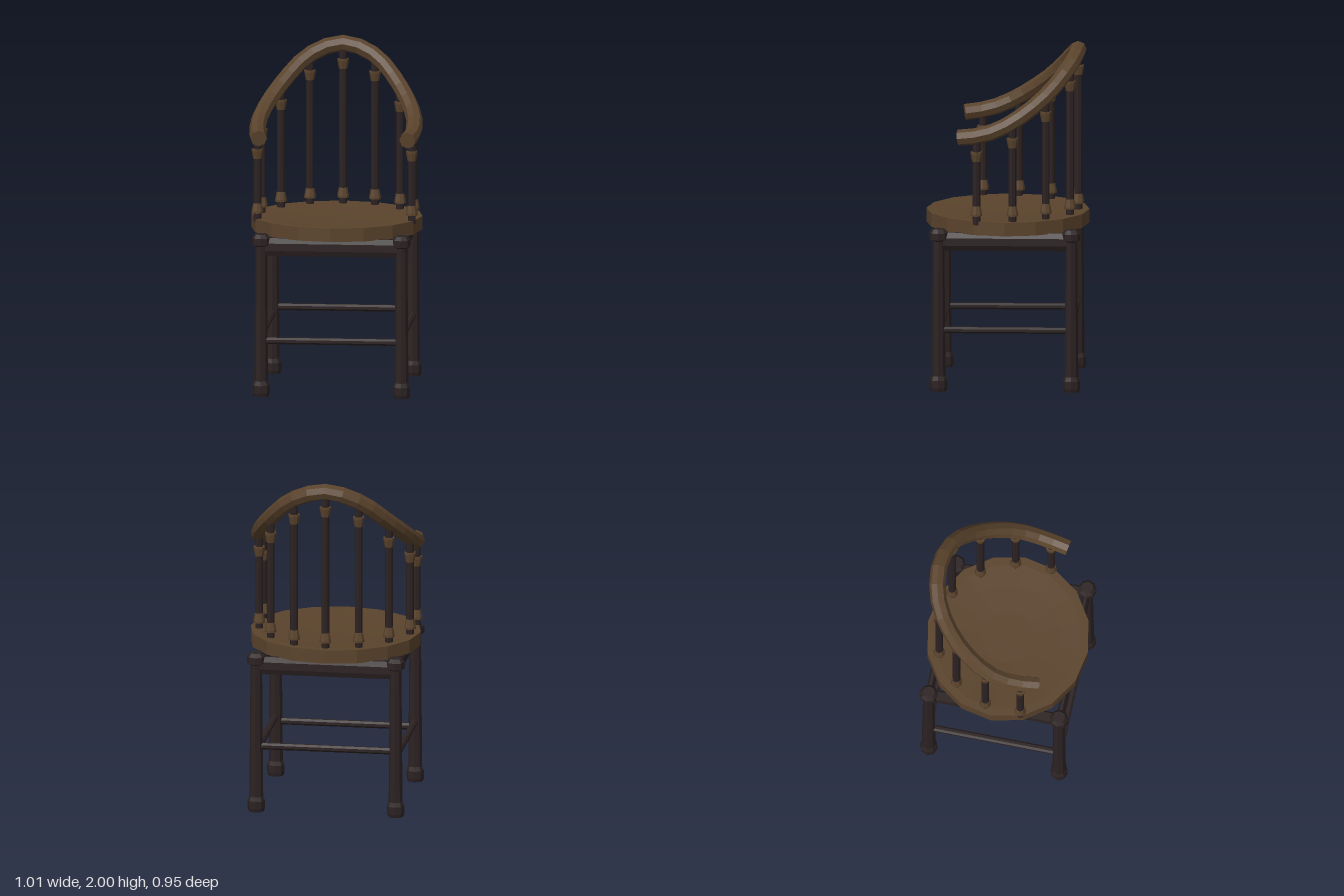
import * as THREE from 'three';

const brown = new THREE.MeshStandardMaterial({ color: 0x5a432c, flatShading: true });
brown.name = 'brown wood';
const dark = new THREE.MeshStandardMaterial({ color: 0x2c2222, flatShading: true });
dark.name = 'dark wood';

export function createModel() {
  const chair = new THREE.Group();
  chair.name = 'chair';

  const add = (name, geometry, material, x = 0, y = 0, z = 0) => {
    const mesh = new THREE.Mesh(geometry, material);
    mesh.name = name;
    mesh.position.set(x, y, z);
    chair.add(mesh);
    return mesh;
  };
  const lathe = (points, sides) =>
    new THREE.LatheGeometry(points.map(p => new THREE.Vector2(p[0], p[1])), sides);

  // Octagonal bar along x or z with the given height and thickness
  const bar = (name, axis, length, height, thick, x, y, z) => {
    const geo = new THREE.CylinderGeometry(0.5, 0.5, length, 8);
    geo.rotateY(Math.PI / 8);
    geo.scale(1 / Math.cos(Math.PI / 8), 1, 1 / Math.cos(Math.PI / 8));
    geo.scale(thick, 1, height);
    geo.rotateX(Math.PI / 2);
    if (axis === 'x') geo.rotateY(Math.PI / 2);
    add(name, geo, dark, x, y, z);
  };

  // Oval seat with a shallow dish
  const seat = lathe([[0, 0.93], [1, 0.93], [1, 1.01], [0.9, 1.01], [0.65, 1.002], [0.32, 0.995], [0, 0.994]], 16);
  seat.scale(0.5, 1, 0.475);
  add('seat', seat, brown);

  // Legs with a foot and a top cap
  const legProfile = [[0, 0], [0.045, 0], [0.051, 0.02], [0.051, 0.065], [0.041, 0.09], [0.034, 0.885],
    [0.054, 0.895], [0.054, 0.935], [0.036, 0.957], [0, 0.957]];
  for (const sx of [-1, 1]) {
    for (const sz of [-1, 1]) {
      add((sz > 0 ? 'front' : 'back') + (sx > 0 ? 'Left' : 'Right') + 'Leg',
        lathe(legProfile, 8), dark, sx * 0.41, 0, sz * 0.387);
    }
  }

  // Aprons under the seat and stretchers, stepping up towards the back
  for (const s of [-1, 1]) {
    const end = s > 0 ? 'front' : 'back';
    const side = s > 0 ? 'left' : 'right';
    bar(end + 'Apron', 'x', 0.8, 0.105, 0.04, 0, 0.882, s * 0.388);
    bar(side + 'Apron', 'z', 0.76, 0.105, 0.06, s * 0.4, 0.882, 0);
    bar(end + 'Stretcher', 'x', 0.8, 0.038, 0.036, 0, s > 0 ? 0.327 : 0.393, s * 0.387);
    bar(side + 'Stretcher', 'z', 0.76, 0.036, 0.038, s * 0.41, 0.36, 0);
  }

  // Curved top rail, one half mirrored
  const half = [[0.19, 1.89, -0.37], [0.348, 1.735, -0.235], [0.444, 1.595, -0.045],
    [0.457, 1.535, 0.08], [0.451, 1.513, 0.165], [0.434, 1.5, 0.27]];
  const points = [
    ...half.slice().reverse().map(p => [-p[0], p[1], p[2]]), [0, 1.953, -0.41], ...half,
  ].map(p => new THREE.Vector3(...p));
  const rail = new THREE.TubeGeometry(new THREE.CatmullRomCurve3(points), 22, 0.048, 8);
  add('topRail', rail, brown);

  // Flat ends of the rail
  for (const [i, s] of [[0, -1], [22, 1]]) {
    const cap = new THREE.CircleGeometry(0.048, 8);
    cap.applyMatrix4(new THREE.Matrix4().makeBasis(rail.normals[i],
      rail.binormals[i].clone().multiplyScalar(s), rail.tangents[i].clone().multiplyScalar(s)));
    add('railEnd', cap, brown, ...points[i === 0 ? 0 : points.length - 1].toArray());
  }

  // Spindles with a collar near each end
  const collar = [[0.022, 0], [0.034, 0], [0.034, 0.012], [0.025, 0.058], [0.022, 0.058]];
  const flipped = collar.map(([r, y]) => [r, 0.058 - y]).reverse();
  const addSpindle = (x, railY, z) => {
    add('spindle', new THREE.CylinderGeometry(0.023, 0.023, railY - 0.99, 8), dark, x, (railY + 0.99) / 2, z);
    add('lowerCollar', lathe(collar, 8), brown, x, 1.042, z);
    add('upperCollar', lathe(flipped, 8), brown, x, railY - 0.15, z);
  };
  addSpindle(0, 1.953, -0.41);
  for (const i of [0, 1, 2, 4]) {
    const [x, y, z] = half[i];
    addSpindle(x, y, z);
    addSpindle(-x, y, z);
  }

  return chair;
}
